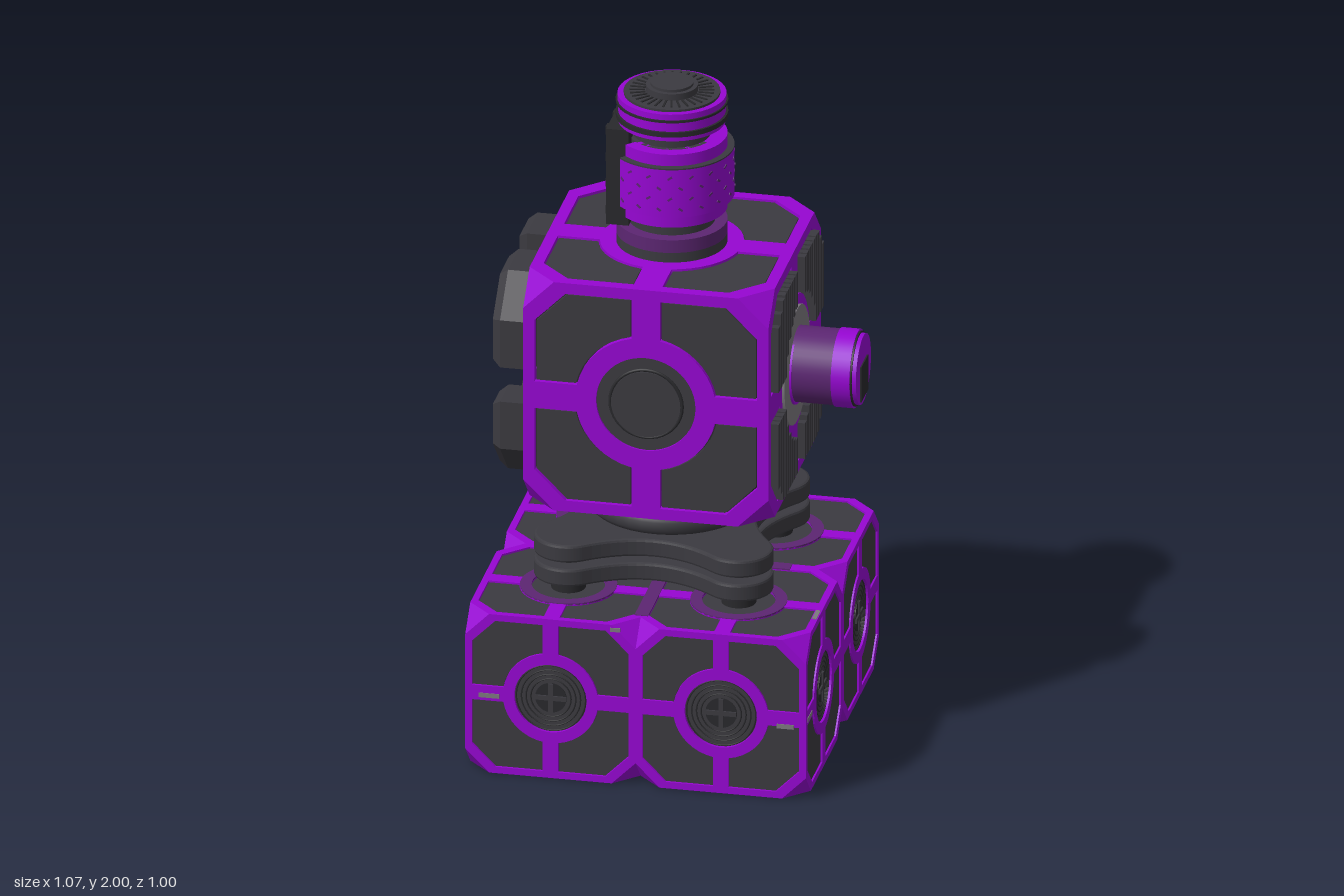
import * as THREE from 'three';

const mat = (name, color) => Object.assign(new THREE.MeshStandardMaterial({ color }), { name });
const purple = mat('purple', 0x9606d2);
const plum = mat('plum', 0x5c2672);
const grey = mat('panel grey', 0x3b3a40);
const dark = mat('dark grey', 0x29292c);
const pale = mat('pale grey', 0x7d797f);
const orange = mat('orange', 0xc47a0c);

function add(parent, name, geo, material, x = 0, y = 0, z = 0) {
  const m = new THREE.Mesh(geo, material);
  m.name = name;
  m.position.set(x, y, z);
  parent.add(m);
  return m;
}
function group(parent, name, x = 0, y = 0, z = 0) {
  const g = new THREE.Group();
  g.name = name;
  g.position.set(x, y, z);
  parent.add(g);
  return g;
}
// upright cylinder between two heights; gap leaves an opening of that half angle towards -x
const cyl = (parent, name, r, y0, y1, material, x = 0, z = 0, gap = 0) =>
  add(parent, name, new THREE.CylinderGeometry(r, r, y1 - y0, 40, 1, false, Math.PI * 1.5 + gap, Math.PI * 2 - gap * 2),
    material, x, (y0 + y1) / 2, z);
// disc facing +z between two depths
const disc = (parent, name, r, z0, z1, material) =>
  add(parent, name, new THREE.CylinderGeometry(r, r, z1 - z0, 40).rotateX(Math.PI / 2), material, 0, 0, (z0 + z1) / 2);
const extrude = (shape, depth) => new THREE.ExtrudeGeometry(shape, { depth, bevelEnabled: false, curveSegments: 24 });
const circle = (Kind, r) => new Kind().absarc(0, 0, r, 0, Math.PI * 2, false);
// flat ring facing +z between two depths
function ring(parent, name, inner, outer, z0, z1, material) {
  const shape = circle(THREE.Shape, outer);
  shape.holes.push(circle(THREE.Path, inner));
  add(parent, name, extrude(shape, z1 - z0), material, 0, 0, z0);
}

// quarter panel points: straight sides at a and b, outer corner cut c, inner arc R, turned k quarters
function quarter(a, b, c, R, k) {
  const s = Math.sqrt(R * R - a * a), pts = [[a, b], [b - c, b], [b, b - c], [b, a]];
  const t0 = Math.atan2(a, s), t1 = Math.atan2(s, a);
  for (let i = 0; i <= 8; i++) {
    const t = t0 + (t1 - t0) * i / 8;
    pts.push([R * Math.cos(t), R * Math.sin(t)]);
  }
  const origin = new THREE.Vector2();
  return pts.map(p => new THREE.Vector2(...p).rotateAround(origin, k * Math.PI / 2));
}
function octagon(h, c) {
  const p = [[h, c - h], [h, h - c], [h - c, h], [c - h, h], [-h, h - c], [-h, c - h], [c - h, -h], [h - c, -h]];
  return new THREE.Shape(p.map(q => new THREE.Vector2(...q)));
}

// one framed face looking along +z
function buildFace(g, s, style) {
  const { h, c, a, b, pc, R, hub, gap } = s;
  const frame = octagon(style === 'underside' ? h - 0.021 : h, c);
  for (let k = 0; k < 4; k++) frame.holes.push(new THREE.Path(quarter(a, b, pc, R, k)));
  if (style !== 'solid') frame.holes.push(circle(THREE.Path, hub));
  add(g, 'frame', extrude(frame, 0.02), style === 'underside' ? dark : purple, 0, 0, h - 0.02);
  for (let k = 0; k < 4; k++) {
    const panel = new THREE.Shape(quarter(a + gap, b - gap, pc, R + gap, k));
    add(g, 'panel', extrude(panel, 0.014), style === 'underside' ? dark : grey, 0, 0, h - 0.019);
  }
  if (style === 'button') {
    disc(g, 'button rim', hub, h - 0.02, h - 0.006, grey);
    add(g, 'button groove', new THREE.TorusGeometry(0.106, 0.005, 8, 40), dark, 0, 0, h - 0.005);
    disc(g, 'button', 0.102, h - 0.02, h + 0.002, grey);
  } else if (style === 'vent') {
    disc(g, 'vent plate', hub, h - 0.02, h - 0.009, grey);
    for (const r of [0.102, 0.087, 0.073, 0.059])
      add(g, 'vent ring', new THREE.TorusGeometry(r, 0.0022, 6, 36), dark, 0, 0, h - 0.008);
    disc(g, 'vent well', 0.046, h - 0.02, h - 0.006, dark);
    for (const [w, t] of [[0.09, 0.014], [0.014, 0.09]])
      add(g, 'vent cross', new THREE.BoxGeometry(w, t, 0.008), grey, 0, 0, h - 0.005);
  } else if (style === 'ribs') {
    // vertical ribs trimmed to the panel outline
    for (const sx of [1, -1]) for (const sy of [1, -1])
      for (let u = a + 0.018; u < b - 0.01; u += 0.03) {
        const lo = Math.max(a + 0.008, u < R ? Math.sqrt(R * R - u * u) + 0.008 : 0);
        const hi = Math.min(b - 0.008, 2 * b - pc - u - 0.008);
        add(g, 'rib', new THREE.BoxGeometry(0.022, hi - lo, 0.036), grey, sx * u, sy * (lo + hi) / 2, h + 0.002);
      }
    disc(g, 'pale collar', 0.176, h - 0.01, h + 0.008, pale);
    disc(g, 'collar', 0.115, h, h + 0.014, purple);
  } else if (style === 'blocks') {
    for (let k = 0; k < 4; k++) {
      const geo = new THREE.ExtrudeGeometry(new THREE.Shape(quarter(0.072, 0.295, 0.1, 0.215, k)),
        { depth: 0.075, bevelThickness: 0.025, bevelSize: 0.018, bevelSegments: 1 });
      add(g, 'outer block', geo, grey, 0, 0, h + 0.003);
    }
    add(g, 'lower bridge', new THREE.BoxGeometry(0.12, 0.07, 0.085), grey, 0, -0.265, h + 0.04);
    ring(g, 'pale socket', 0.115, 0.148, h - 0.06, h - 0.001, pale);
    disc(g, 'glowing lens', 0.116, h - 0.065, h - 0.045, orange);
  } else if (style !== 'solid') {
    disc(g, 'hub plate', hub, h - 0.02, h - 0.006, style === 'underside' ? dark : grey);
    if (style === 'stained') ring(g, 'stained ring', hub, R, h - 0.003, h + 0.002, plum);
  }
}

const turns = {
  front: [0, 0], back: [0, Math.PI], right: [0, Math.PI / 2], left: [0, -Math.PI / 2],
  top: [-Math.PI / 2, 0], bottom: [Math.PI / 2, 0],
};
// cube with cut corners and a framed design on each listed face
function buildCube(parent, name, s, styles, x, y, z) {
  const g = group(parent, name, x, y, z), { h, c } = s, core = 2 * (h - s.inset);
  for (const sx of [1, -1]) for (const sy of [1, -1]) for (const sz of [1, -1]) {
    const A = [sx * (h - c), sy * h, sz * h], B = [sx * h, sy * (h - c), sz * h], C = [sx * h, sy * h, sz * (h - c)];
    const tri = new THREE.BufferGeometry();
    const order = sx * sy * sz > 0 ? [A, B, C] : [A, C, B];
    tri.setAttribute('position', new THREE.Float32BufferAttribute(order.flat(), 3));
    tri.computeVertexNormals();
    // the base's outer top corner at the back is worn bare
    const worn = x > 0 && z < 0 && sx > 0 && sy > 0 && sz < 0;
    add(g, 'corner plate', tri, worn ? pale : purple);
  }
  add(g, 'core', new THREE.BoxGeometry(core, core, core), dark);
  for (const [side, style] of Object.entries(styles)) {
    const f = group(g, side + 'Face');
    f.rotation.set(turns[side][0], turns[side][1], 0);
    buildFace(f, s, style);
  }
}

export function createModel() {
  const root = new THREE.Group();
  root.name = 'model';
  const m = group(root, 'machine', -0.035);

  // base of four cubes
  const small = { h: 0.25, c: 0.07, a: 0.023, b: 0.23, pc: 0.068, R: 0.14, hub: 0.106, gap: 0.001, inset: 0.026 };
  for (const sx of [1, -1]) for (const sz of [1, -1])
    buildCube(m, 'baseCube', small, {
      [sx > 0 ? 'right' : 'left']: 'vent', [sz > 0 ? 'front' : 'back']: 'vent', top: 'stained', bottom: 'solid',
    }, sx * 0.25, 0.25, sz * 0.25);

  // stained seams under the stand
  add(m, 'stained seam', new THREE.BoxGeometry(0.04, 0.004, 0.84), plum, 0, 0.5, 0);
  add(m, 'stained seam', new THREE.BoxGeometry(0.7, 0.004, 0.04), plum, 0, 0.5, 0);

  // worn paint: thin pale patches on the frames
  const worn = [
    [0.06, 0.014, 0.004, -0.43, 0.243, 0.5], [0.05, 0.014, 0.004, 0.44, 0.228, 0.5], [0.004, 0.014, 0.06, 0.5, 0.243, 0.45],
    [0.13, 0.004, 0.014, -0.37, 0.5, -0.49], [0.014, 0.004, 0.06, 0.49, 0.5, 0.31], [0.03, 0.012, 0.004, -0.06, 0.485, 0.5],
    [0.035, 0.004, 0.03, -0.075, 1.495, -0.24],
  ];
  for (const [w, t, d, x, y, z] of worn) add(m, 'worn patch', new THREE.BoxGeometry(w, t, d), pale, x, y, z);

  // stand: two four-lobed plates on posts
  const stand = group(m, 'stand');
  const lobes = new THREE.Shape();
  for (let k = 0; k < 4; k++) {
    const t = Math.PI / 4 + k * Math.PI / 2, w = Math.PI * 80 / 180, d = 0.25 * Math.SQRT2;
    lobes.absarc(d * Math.cos(t), d * Math.sin(t), 0.092, t - w, t + w, false);
    const e = t + Math.PI / 4, n = e + Math.PI / 4;
    lobes.quadraticCurveTo(0.17 * Math.cos(e), 0.17 * Math.sin(e),
      d * Math.cos(n) + 0.092 * Math.cos(n - w), d * Math.sin(n) + 0.092 * Math.sin(n - w));
  }
  for (const y of [0.535, 0.61]) {
    const geo = new THREE.ExtrudeGeometry(lobes, { depth: 0.039, bevelThickness: 0.008, bevelSize: 0.008, bevelSegments: 2, curveSegments: 16 });
    add(stand, 'lobed plate', geo.rotateX(-Math.PI / 2), grey, 0, y + 0.008, 0);
  }
  for (const sx of [1, -1]) for (const sz of [1, -1]) cyl(stand, 'post', 0.05, 0.49, 0.63, dark, sx * 0.25, sz * 0.25);
  cyl(stand, 'turntable lower', 0.2, 0.66, 0.69, dark);
  const profile = [[0, 0.675], [0.235, 0.675], [0.247, 0.69], [0.247, 0.715], [0.237, 0.72], [0.237, 0.73], [0.247, 0.735], [0.247, 0.755], [0.235, 0.767], [0, 0.767]];
  add(stand, 'turntable', new THREE.LatheGeometry(profile.map(p => new THREE.Vector2(...p)), 40), grey);
  cyl(stand, 'turntable neck', 0.14, 0.76, 0.8, dark);

  // main cube
  const big = { h: 0.36, c: 0.09, a: 0.042, b: 0.326, pc: 0.09, R: 0.207, hub: 0.146, gap: 0.004, inset: 0.062 };
  buildCube(m, 'mainCube', big, {
    front: 'button', back: 'button', top: 'plain', bottom: 'underside', right: 'ribs', left: 'blocks',
  }, 0, 1.14, 0);

  // side nozzle, built upright and laid along +x
  const nozzle = group(m, 'sideNozzle', 0, 1.145, 0);
  nozzle.rotation.z = -Math.PI / 2;
  cyl(nozzle, 'nozzle barrel', 0.111, 0.35, 0.52, plum);
  cyl(nozzle, 'nozzle band', 0.115, 0.49, 0.545, purple);
  cyl(nozzle, 'nozzle groove', 0.11, 0.545, 0.55, dark);
  cyl(nozzle, 'nozzle cap', 0.104, 0.55, 0.562, purple);
  add(nozzle, 'nozzle slot', new THREE.BoxGeometry(0.11, 0.01, 0.095), dark, 0.03, 0.561, 0);

  // tower; the collars and band are open where the control box sits
  const tower = group(m, 'tower');
  const rings = [
    ['tower foot', 0.16, 1.49, 1.53, grey], ['tower foot band', 0.16, 1.53, 1.57, plum],
    ['tower core', 0.125, 1.57, 1.84, grey], ['lower collar', 0.16, 1.61, 1.65, purple, 0.8],
    ['main band', 0.18, 1.65, 1.8, purple, 0.8], ['band shoulder', 0.18, 1.8, 1.804, grey, 0.8],
    ['upper collar', 0.16, 1.804, 1.84, purple, 0.8],
    ['upper neck', 0.112, 1.84, 1.88, grey], ['head lower', 0.155, 1.88, 1.895, purple],
    ['head groove', 0.162, 1.895, 1.91, dark], ['head band', 0.155, 1.91, 1.94, purple],
    ['head ring', 0.162, 1.94, 1.947, dark], ['head rim', 0.157, 1.947, 1.965, purple],
    ['head plate', 0.139, 1.965, 1.972, grey], ['cap', 0.075, 1.97, 1.992, grey], ['cap top', 0.062, 1.992, 2, grey],
  ];
  for (const [name, r, y0, y1, material, gap] of rings) cyl(tower, name, r, y0, y1, material, 0, 0, gap);
  // radial fins round the cap
  for (let i = 0; i < 32; i++) {
    const t = i * Math.PI / 16;
    const fin = add(tower, 'cap fin', new THREE.BoxGeometry(0.045, 0.006, 0.006), dark, 0.1 * Math.cos(t), 1.972, -0.1 * Math.sin(t));
    fin.rotation.y = t;
  }
  // small notches on the main band, skipping the control box
  for (let row = 0; row < 4; row++) for (let i = 0; i < 18; i++) {
    const t = (i + (row % 2) / 2) * Math.PI / 9;
    if (Math.sin(t) < -0.65) continue;
    const notch = add(tower, 'band notch', new THREE.BoxGeometry(0.014, 0.006, 0.004), plum, 0.18 * Math.sin(t), 1.675 + row * 0.033, 0.18 * Math.cos(t));
    notch.rotation.set(0, t, row % 2 ? 0.6 : -0.6);
  }
  // control box on the side of the tower
  const box = group(tower, 'controlBox', -0.138, 1.73, 0);
  add(box, 'box body', new THREE.BoxGeometry(0.066, 0.3, 0.21), dark);
  add(box, 'box cover', new THREE.BoxGeometry(0.012, 0.2, 0.15), grey, -0.034, 0, 0);
  for (const y of [-0.125, -0.04, 0.04, 0.125]) for (const z of [-0.05, 0.05])
    add(box, 'box stud', new THREE.BoxGeometry(0.016, 0.025, 0.025), dark, -0.036, y, z);
  return root;
}
